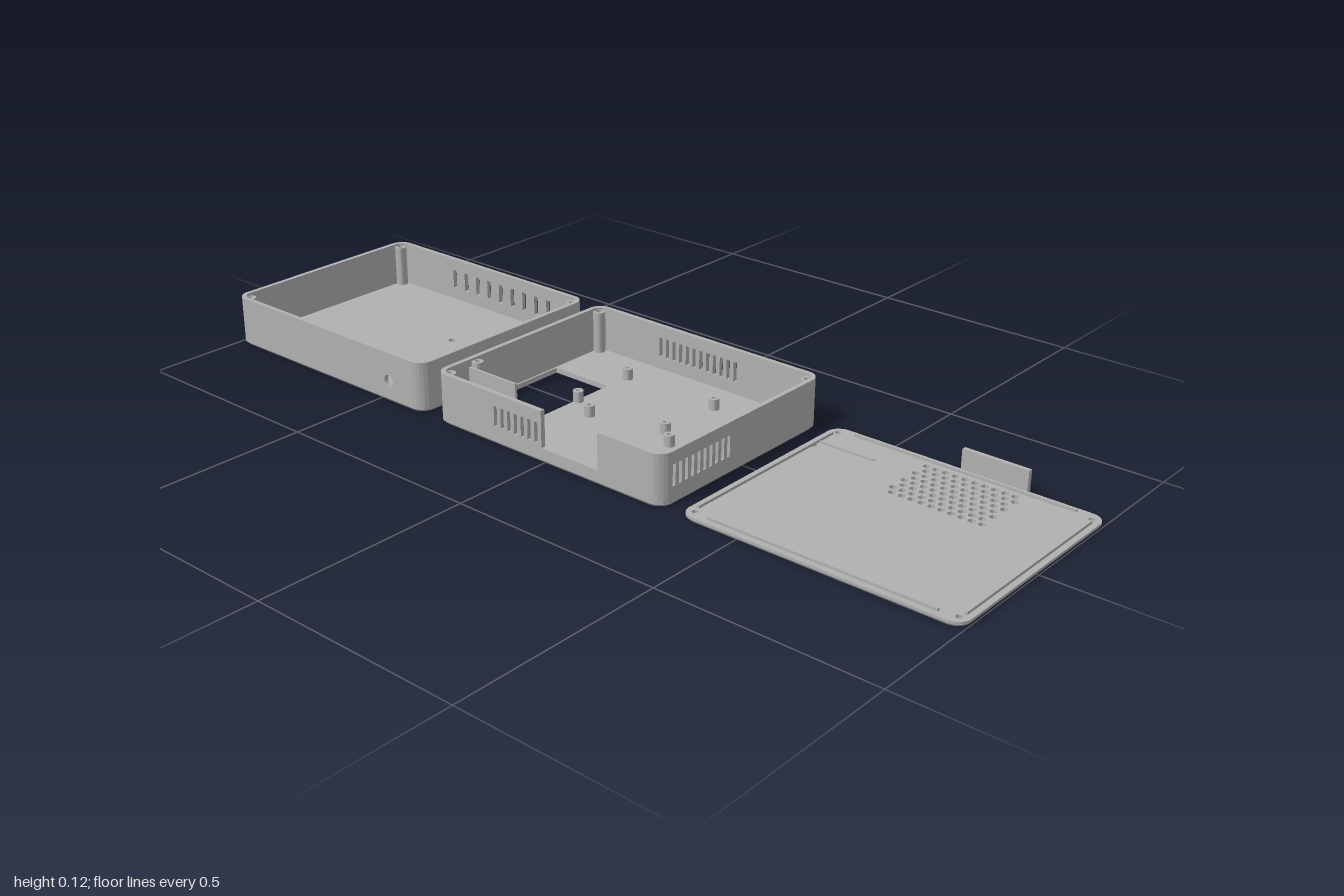
import * as THREE from 'three';
import { toCreasedNormals } from 'three/addons/utils/BufferGeometryUtils.js';

const W = 0.3185, D = 0.263, R = 0.032; // half width, half depth, corner radius
const H = 0.117, T = 0.011, FLOOR = 0.012; // wall height, wall and floor thickness
const grey = new THREE.MeshStandardMaterial({ color: 0xb0b0b0 });
grey.name = 'grey plastic';

function add(group, name, geometry, x = 0, y = 0, z = 0) {
  const mesh = new THREE.Mesh(geometry, grey);
  mesh.name = name;
  mesh.position.set(x, y, z);
  group.add(mesh);
  return mesh;
}

function circle(x, y, r, n = 16) {
  const pts = [];
  for (let i = 0; i < n; i++) {
    const a = (i / n) * Math.PI * 2;
    pts.push(new THREE.Vector2(x + r * Math.cos(a), y + r * Math.sin(a)));
  }
  return new THREE.Path(pts);
}

function rect(x0, y0, x1, y1) {
  return new THREE.Path([[x0, y0], [x1, y0], [x1, y1], [x0, y1]].map(p => new THREE.Vector2(...p)));
}

function extrude(shape, depth, steps = 1) {
  return new THREE.ExtrudeGeometry(shape, { depth, steps, bevelEnabled: false, curveSegments: 8 });
}

// Rounded floor plate with holes (drawn in x, -z) and a chamfered lower edge
function plate(holes) {
  const s = new THREE.Shape();
  s.absarc(W - R, D - R, R, 0, Math.PI / 2);
  s.absarc(R - W, D - R, R, Math.PI / 2, Math.PI);
  s.absarc(R - W, R - D, R, Math.PI, Math.PI * 1.5);
  s.absarc(W - R, R - D, R, Math.PI * 1.5, Math.PI * 2);
  s.closePath();
  s.holes = holes;
  const g = extrude(s, FLOOR, 2).rotateX(-Math.PI / 2);
  const p = g.attributes.position;
  for (let i = 0; i < p.count; i++) {
    const x = Math.abs(p.getX(i)), z = Math.abs(p.getZ(i));
    const dx = x - (W - R), dz = z - (D - R);
    const edge = dx > 0 && dz > 0 ? Math.hypot(dx, dz) : Math.max(dx, dz);
    if (p.getY(i) < 0.001 && edge > R - 0.001) {
      p.setX(i, p.getX(i) * (1 - 0.005 / W));
      p.setZ(i, p.getZ(i) * (1 - 0.005 / D));
    }
  }
  return toCreasedNormals(g, 0.5);
}

// Row of upright ventilation slots
function slots(start, pitch, count, half = 0.0045) {
  return Array.from({ length: count }, (_, i) => {
    const u = start + pitch * i;
    return rect(u - half, 0.041, u + half, 0.088);
  });
}

// Straight wall; notch is [from, to, bottom] open at the top
function panel(half, holes = [], notch) {
  const pts = [[-half, FLOOR], [half, FLOOR], [half, H]];
  if (notch) pts.push([notch[1], H], [notch[1], notch[2]], [notch[0], notch[2]], [notch[0], H]);
  pts.push([-half, H]);
  const s = new THREE.Shape(pts.map(p => new THREE.Vector2(...p)));
  s.holes = holes;
  return extrude(s, T);
}

// Hollow screw post standing on the floor
function post(group, name, x, z, r, bore, top) {
  const s = new THREE.Shape(circle(0, 0, r).getPoints());
  s.holes = [circle(0, 0, bore, 12)];
  const g = extrude(s, top - FLOOR + 0.002).rotateX(-Math.PI / 2);
  add(group, name, toCreasedNormals(g, 0.6), x, FLOOR - 0.002, z);
}

// Open tray: floor, four walls, rounded corners, corner posts
function tray(name, { floor = [], front = [], back = [], right = [], notch }) {
  const g = new THREE.Group();
  g.name = name;
  add(g, 'floor', plate(floor));
  add(g, 'frontWall', panel(W - R, front, notch), 0, 0, D - T);
  add(g, 'backWall', panel(W - R, back), 0, 0, -D);
  add(g, 'leftWall', panel(D - R, right), W - T).rotation.y = Math.PI / 2;
  add(g, 'rightWall', panel(D - R), -W).rotation.y = Math.PI / 2;
  const arc = new THREE.Shape();
  arc.absarc(0, 0, R, 0, Math.PI / 2, false);
  arc.absarc(0, 0, R - T, Math.PI / 2, 0, true);
  arc.closePath();
  const corner = toCreasedNormals(extrude(arc, H - FLOOR).rotateX(-Math.PI / 2), 0.5);
  [[1, -1], [-1, -1], [-1, 1], [1, 1]].forEach(([sx, sz], i) => {
    add(g, 'wallCorner', corner, sx * (W - R), FLOOR, sz * (D - R)).rotation.y = i * Math.PI / 2;
    post(g, 'cornerPost', sx * (W - 0.021), sz * (D - 0.024), 0.014, 0.007, H - 0.006);
  });
  return g;
}

function createLid() {
  const lid = new THREE.Group();
  lid.name = 'lid';
  const holes = [circle(-0.298, 0.155, 0.007, 12)];
  for (const sx of [-1, 1]) for (const sz of [-1, 1]) {
    holes.push(circle(sx * (W - 0.021), sz * (D - 0.024), 0.007, 12));
  }
  // Staggered fan grille
  for (let row = 0; row < 8; row++) {
    for (let col = 0; col < 10; col++) {
      holes.push(circle(-0.068 + col * 0.0228 + (row % 2) * 0.0114, 0.225 - row * 0.0205, 0.0085, 6));
    }
  }
  add(lid, 'lidPlate', plate(holes));
  // Locating lip
  for (const s of [-1, 1]) {
    add(lid, 'lip', new THREE.BoxGeometry(0.52, 0.008, 0.006), 0, 0.014, s * (D - 0.016));
    add(lid, 'lip', new THREE.BoxGeometry(0.006, 0.008, 0.45), s * (W - 0.016), 0.014, 0);
  }
  add(lid, 'partitionRib', new THREE.BoxGeometry(0.135, 0.006, 0.004), -0.23, 0.013, -0.174);
  add(lid, 'notchCover', new THREE.BoxGeometry(0.153, 0.052, T), 0.072, 0.036, -D + T / 2);
  return lid;
}

export function createModel() {
  const model = new THREE.Group();
  model.name = 'enclosureParts';

  const cover = tray('coverTray', {
    floor: [circle(0.078, 0.056, 0.009), circle(0.078, -0.206, 0.009)],
    front: [circle(0.2115, 0.05, 0.014)],
    back: slots(-0.113, 0.04, 9, 0.006),
  });
  cover.position.x = W - 1;

  const base = tray('baseTray', {
    floor: [rect(-0.303, -0.137, -0.146, 0.098), rect(0.17, 0.09, 0.277, 0.227)],
    front: slots(-0.137, 0.0195, 7),
    back: slots(-0.12, 0.0195, 12),
    right: slots(-0.225, 0.019, 10),
    notch: [-0.005, 0.15, 0.033],
  });
  const standoffs = [[-0.14, -0.16], [0.11, -0.16], [-0.14, 0.005], [0.11, 0.005],
    [-0.07, 0.045], [0.155, 0.045], [-0.07, 0.235], [0.155, 0.235]];
  for (const [x, z] of standoffs) post(base, 'standoff', x, z, 0.012, 0.005, 0.038);
  post(base, 'partitionPost', -0.298, 0.155, 0.013, 0.006, H - 0.006);
  add(base, 'partition', new THREE.BoxGeometry(0.14, 0.09, 0.006), -0.235, 0.056, 0.172);

  const lid = createLid();
  lid.position.x = 1 - W;

  model.add(cover, base, lid);
  return model;
}
